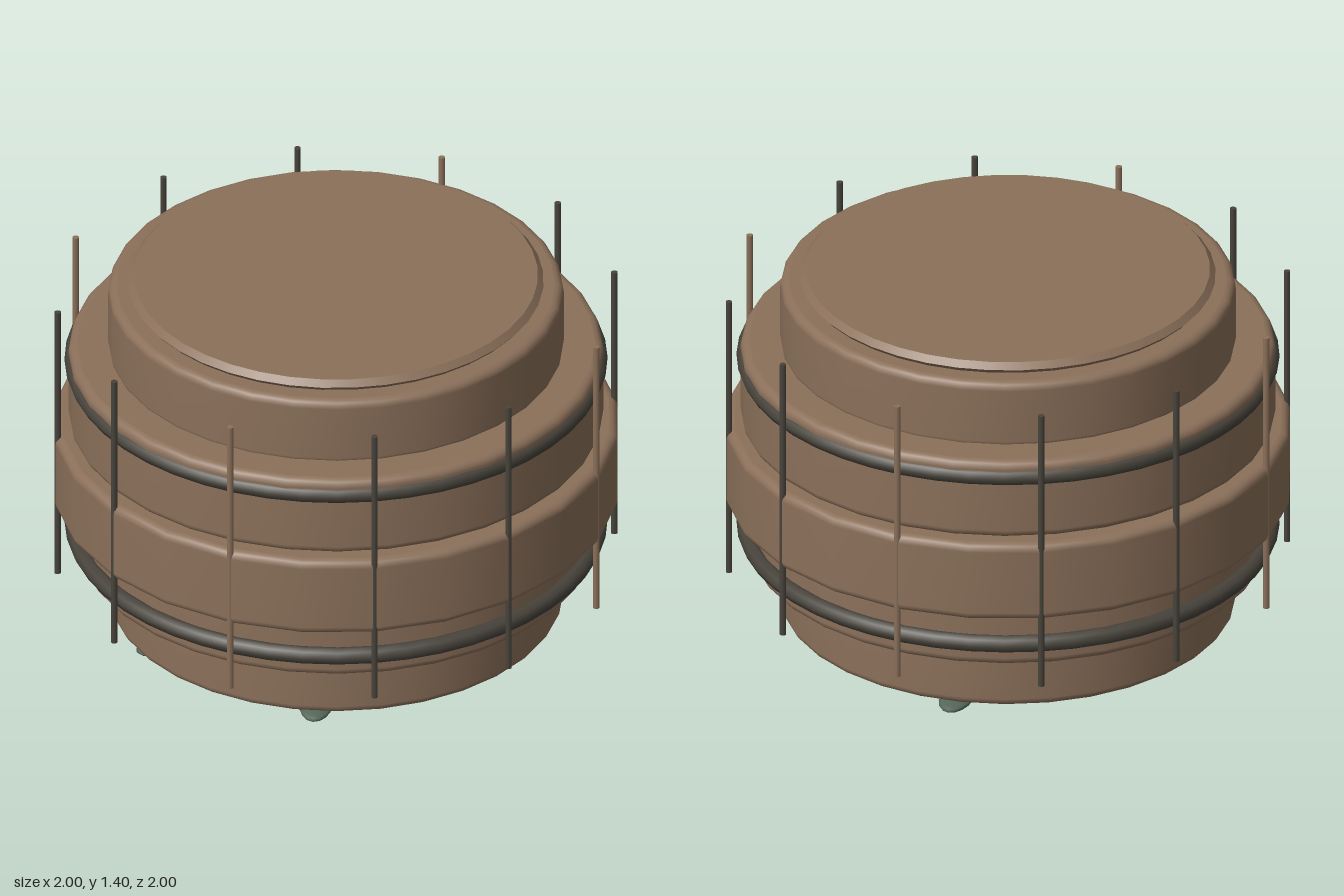
import * as THREE from 'three';

const mat = (name, color) => {
  const m = new THREE.MeshStandardMaterial({ color });
  m.name = name;
  return m;
};

export function createModel() {
  const group = new THREE.Group();
  const brown = mat('warm brown', 0x8b705a);
  const dark = mat('dark iron', 0x48443c);
  const green = mat('mossy green', 0x55665a);

  const add = (name, geometry, material, x = 0, y = 0, z = 0) => {
    const mesh = new THREE.Mesh(geometry, material);
    mesh.name = name;
    mesh.position.set(x, y, z);
    group.add(mesh);
    return mesh;
  };

  // Drum with rounded rims; the flat caps are separate discs to stay crisp
  const drum = (name, radius, y0, y1, sides = 32, bevel = 0.03) => {
    const points = [];
    for (let i = 0; i <= 4; i++) {
      const a = (i / 4) * Math.PI / 2;
      points.push(new THREE.Vector2(radius - bevel + bevel * Math.sin(a), y0 + bevel - bevel * Math.cos(a)));
    }
    for (let i = 0; i <= 4; i++) {
      const a = (i / 4) * Math.PI / 2;
      points.push(new THREE.Vector2(radius - bevel + bevel * Math.cos(a), y1 - bevel + bevel * Math.sin(a)));
    }
    add(name, new THREE.LatheGeometry(points, sides), brown);
    const cap = new THREE.CircleGeometry(radius - bevel, sides);
    cap.rotateZ(Math.PI / 2);
    add(name + 'Top', cap.clone().rotateX(-Math.PI / 2), brown, 0, y1, 0);
    add(name + 'Bottom', cap.clone().rotateX(Math.PI / 2), brown, 0, y0, 0);
  };
  drum('baseDrum', 0.8, 0.08, 0.32);
  drum('lowerDrum', 0.91, 0.3, 0.54);
  drum('middleDrum', 0.997, 0.52, 0.82, 24);
  drum('upperDrum', 0.94, 0.82, 1.12);
  drum('topDrum', 0.8, 1.1, 1.36);

  // Bevel-edged discs closing the top and the underside
  const disc = (name, radius, y0, y1, material) => {
    const h = (y1 - y0) / 2;
    add(name + 'UpperHalf', new THREE.CylinderGeometry(radius - 0.02, radius, h, 40), material, 0, y1 - h / 2, 0);
    add(name + 'LowerHalf', new THREE.CylinderGeometry(radius, radius - 0.02, h, 40), material, 0, y0 + h / 2, 0);
  };
  disc('lid', 0.73, 1.355, 1.4, brown);
  disc('bottomPlate', 0.66, 0.03, 0.08, dark);

  // Hoops
  for (const [name, y] of [['lowerHoop', 0.395], ['upperHoop', 1.058]]) {
    const hoop = new THREE.TorusGeometry(0.922, 0.032, 8, 48);
    hoop.rotateX(Math.PI / 2);
    add(name, hoop, dark, 0, y, 0);
  }

  // Ring of twelve thin rods, every third one brown
  const rod = new THREE.CylinderGeometry(0.012, 0.012, 1.07, 8);
  for (let i = 0; i < 12; i++) {
    const a = (i * Math.PI) / 6;
    add('rod' + (i + 1), rod, i % 3 ? dark : brown, 0.987 * Math.sin(a), 0.795, 0.987 * Math.cos(a));
  }

  // Flattened pad feet, long side pointing outward
  const pad = new THREE.SphereGeometry(1, 16, 10);
  pad.scale(0.12, 0.02, 0.06);
  [-11, -97, 74, 136].forEach((degrees, i) => {
    const a = THREE.MathUtils.degToRad(degrees);
    const foot = add('foot' + (i + 1), pad, green, 0.635 * Math.cos(a), 0.022, 0.635 * Math.sin(a));
    foot.rotation.y = -a;
  });

  return group;
}
